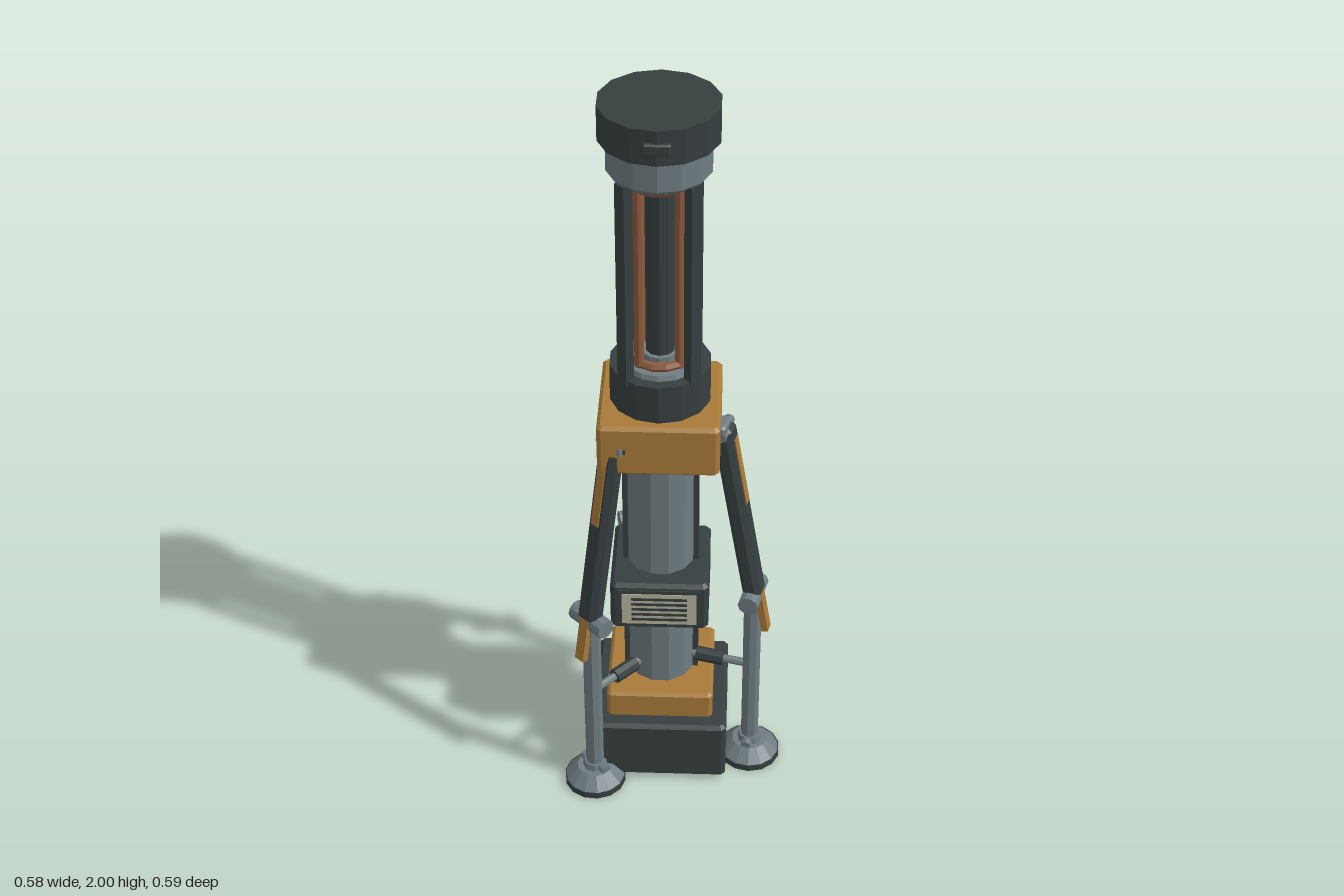
import * as THREE from 'three';

const paint = (name, color) => {
  const m = new THREE.MeshStandardMaterial({ color });
  m.name = name;
  return m;
};

export function createModel() {
  const dark = paint('dark slate', 0x363e3f);
  const grey = paint('steel grey', 0x6f7c81);
  const ochre = paint('ochre', 0xa87a38);
  const copper = paint('copper', 0x8c5a3e);
  const cream = paint('pale cream', 0xb4b09c);

  const model = new THREE.Group();
  model.name = 'tripodDevice';
  const body = new THREE.Group();
  body.name = 'body';
  body.position.set(-0.035, 0, 0.03);
  model.add(body);

  // Adds a mesh with hard, faceted edges
  function add(parent, name, geometry, material, x = 0, y = 0, z = 0) {
    const g = geometry.index ? geometry.toNonIndexed() : geometry;
    g.computeVertexNormals();
    const mesh = new THREE.Mesh(g, material);
    mesh.name = name;
    mesh.position.set(x, y, z);
    parent.add(mesh);
    return mesh;
  }

  const box = (w, h, d) => new THREE.BoxGeometry(w, h, d);
  const tube = (top, bottom, h, sides) => new THREE.CylinderGeometry(top, bottom, h, sides);

  // Box with every edge chamfered by c
  function chamferBox(w, h, d, c) {
    const a = w / 2 - c, b = d / 2 - c, k = c * 0.6;
    const s = new THREE.Shape([
      [-a + k, -b], [a - k, -b], [a, -b + k], [a, b - k],
      [a - k, b], [-a + k, b], [-a, b - k], [-a, -b + k],
    ].map(([x, y]) => new THREE.Vector2(x, y)));
    const g = new THREE.ExtrudeGeometry(s, {
      depth: h - 2 * c, bevelEnabled: true, bevelThickness: c, bevelSize: c, bevelSegments: 1,
    });
    g.translate(0, 0, -h / 2 + c);
    g.rotateX(-Math.PI / 2);
    return g;
  }

  // Stacked base
  add(body, 'baseBlock', chamferBox(0.36, 0.185, 0.36, 0.01), dark, 0, 0.1025, 0);
  add(body, 'basePlinth', chamferBox(0.284, 0.085, 0.284, 0.008), ochre, 0, 0.235, 0);

  // Central column with a rail on each side
  add(body, 'column', tube(0.088, 0.088, 0.8, 12).rotateY(Math.PI / 12), grey, 0, 0.66, 0);
  for (const s of [-1, 1]) add(body, 'columnRail', box(0.022, 0.77, 0.045), dark, s * 0.088, 0.655, 0);

  // Control box with louvred front panel
  add(body, 'controlBox', chamferBox(0.256, 0.15, 0.262, 0.01), dark, 0, 0.58, 0.003);
  add(body, 'panelFrame', box(0.215, 0.12, 0.006), dark, 0, 0.58, 0.136);
  add(body, 'ventPanel', box(0.195, 0.1, 0.006), cream, 0, 0.58, 0.138);
  for (let i = 0; i < 5; i++) {
    add(body, 'ventSlot', box(0.145, 0.008, 0.004), dark, 0, 0.546 + i * 0.017, 0.1405);
  }

  // Shoulder block carrying the legs
  add(body, 'shoulderBlock', chamferBox(0.305, 0.145, 0.305, 0.009), ochre, 0, 1.1025, 0);
  add(body, 'shoulderPin', box(0.006, 0.014, 0.004), dark, -0.085, 1.103, 0.1525);

  // Lower collar, upper collar and cap
  add(body, 'lowerCollar', tube(0.128, 0.128, 0.105, 14), dark, 0, 1.2275, 0);
  add(body, 'lowerSeat', tube(0.095, 0.1, 0.014, 14), grey, 0, 1.286, 0);
  const collar = [[0, 1.812], [0.108, 1.812], [0.128, 1.83], [0.128, 1.912], [0, 1.912]];
  add(body, 'upperCollar', new THREE.LatheGeometry(collar.map(p => new THREE.Vector2(...p)), 14), grey);
  add(body, 'cap', tube(0.147, 0.147, 0.09, 14), dark, 0, 1.955, 0);
  add(body, 'capLatch', chamferBox(0.066, 0.03, 0.02, 0.004), dark, 0, 1.953, 0.143);

  // Open cage: outer bars, copper rods and dark core
  add(body, 'core', tube(0.037, 0.037, 0.52, 10), dark, 0, 1.55, 0);
  for (let i = 0; i < 4; i++) {
    const a = Math.PI / 4 + i * Math.PI / 2;
    const bar = add(body, 'cageBar', box(0.032, 0.56, 0.026), dark,
      Math.sin(a) * 0.115, 1.545, Math.cos(a) * 0.115);
    bar.rotation.y = a;
    add(body, 'copperRod', tube(0.012, 0.012, 0.52, 8), copper,
      Math.sin(a) * 0.07, 1.55, Math.cos(a) * 0.07);
  }
  for (const y of [1.302, 1.797]) {
    add(body, 'copperRing', new THREE.TorusGeometry(0.07, 0.012, 6, 14).rotateX(Math.PI / 2), copper, 0, y, 0);
    add(body, 'coreCap', tube(0.048, 0.048, 0.024, 12), grey, 0, y, 0);
  }

  // One leg, built pointing along +z and turned about the column
  function addLeg(angle) {
    const leg = new THREE.Group();
    leg.name = 'leg';
    leg.rotation.y = angle;
    body.add(leg);
    const r = 0.252;

    // Foot
    add(leg, 'footPad', tube(0.083, 0.083, 0.018, 14), dark, 0, 0.009, r);
    add(leg, 'footCone', tube(0.048, 0.08, 0.034, 14), grey, 0, 0.035, r);
    add(leg, 'ankle', tube(0.03, 0.034, 0.022, 8), grey, 0, 0.06, r);
    add(leg, 'anklePin', tube(0.014, 0.014, 0.09, 8).rotateZ(Math.PI / 2), grey, 0, 0.058, r);

    // Lower post and knee
    add(leg, 'lowerPost', tube(0.024, 0.024, 0.53, 8), grey, 0, 0.315, r);
    add(leg, 'knee', tube(0.027, 0.027, 0.115, 10).rotateZ(Math.PI / 2), grey, 0, 0.577, r);

    // Brace to the column
    add(leg, 'braceRod', tube(0.011, 0.011, 0.18, 8).rotateX(Math.PI / 2), grey, 0, 0.325, 0.16);
    add(leg, 'braceSleeve', tube(0.02, 0.02, 0.075, 8).rotateX(Math.PI / 2), dark, 0, 0.325, 0.137);

    // Sloping upper beam with ochre insert and tip
    const beam = new THREE.Group();
    beam.name = 'upperLeg';
    beam.position.set(0, 0.845, 0.21);
    beam.rotation.x = -Math.atan2(0.09, 0.525);
    leg.add(beam);
    add(beam, 'upperBeam', chamferBox(0.066, 0.54, 0.05, 0.012), dark);
    add(beam, 'beamInsert', box(0.026, 0.2, 0.006), ochre, 0, 0.13, 0.025);
    add(beam, 'beamTip', box(0.03, 0.13, 0.018), ochre, 0, -0.325, 0.014);

    // Hinge on the shoulder block
    add(leg, 'hingeBracket', chamferBox(0.06, 0.05, 0.05, 0.006), grey, -0.012, 1.105, 0.155);
    add(leg, 'hingePin', tube(0.015, 0.015, 0.085, 8).rotateZ(Math.PI / 2), grey, 0, 1.1, 0.168);
  }
  for (const deg of [76, 196, 316]) addLeg(THREE.MathUtils.degToRad(deg));

  return model;
}
